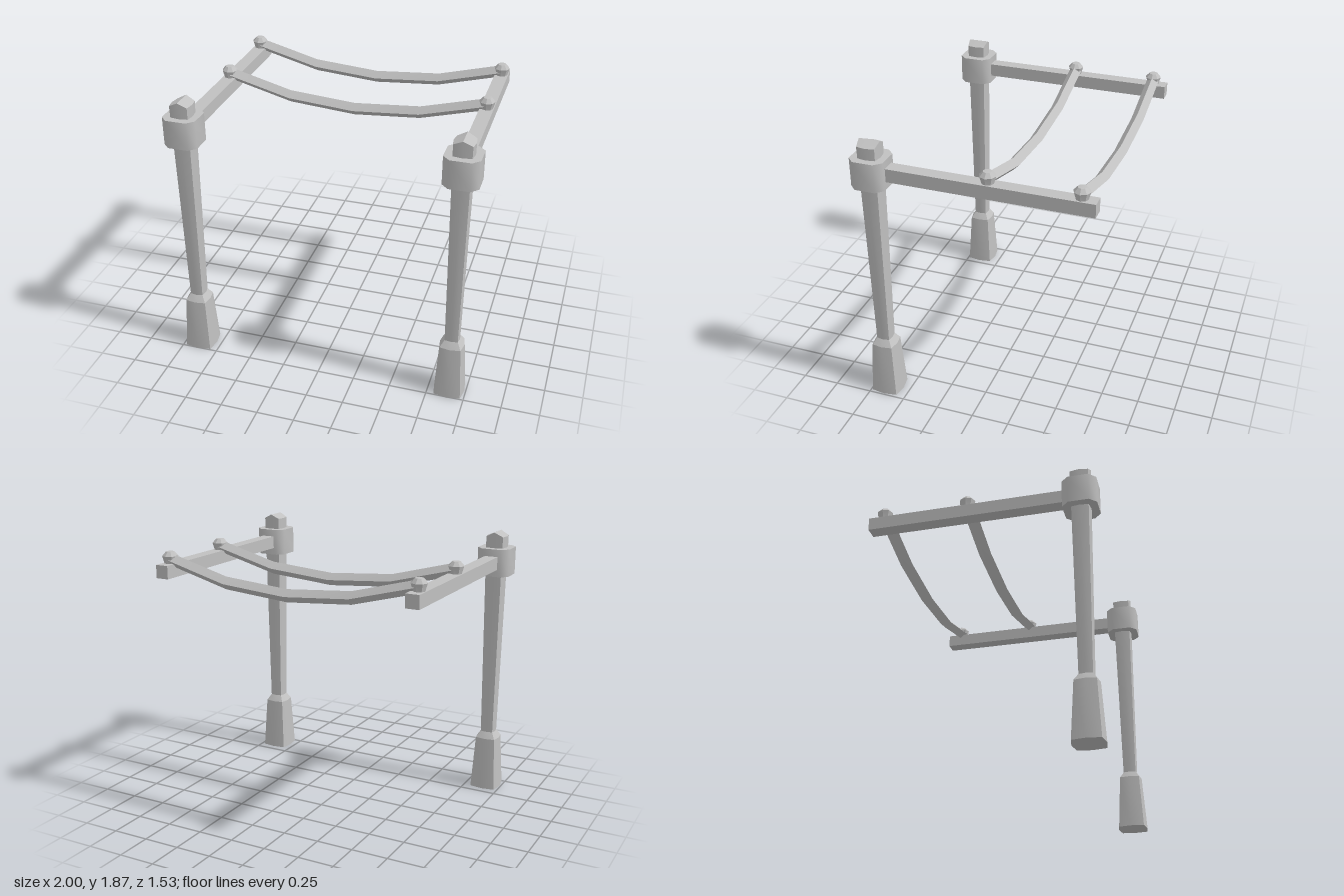
import * as THREE from 'three';
import { toCreasedNormals } from 'three/addons/utils/BufferGeometryUtils.js';

// Closed solid through rings of points, with fan caps at both ends
function loft(rings, crease) {
  const pos = [];
  const tri = (...pts) => pts.forEach((p) => pos.push(p.x, p.y, p.z));
  const centre = (r) => r.reduce((s, p) => s.add(p), new THREE.Vector3()).divideScalar(r.length);
  const n = rings[0].length;
  for (let i = 0; i < rings.length - 1; i++) {
    for (let j = 0; j < n; j++) {
      const k = (j + 1) % n, lo = rings[i], up = rings[i + 1];
      tri(lo[j], up[j], up[k]);
      tri(lo[j], up[k], lo[k]);
    }
  }
  const first = rings[0], last = rings[rings.length - 1];
  const c0 = centre(first), c1 = centre(last);
  // a raised ridge keeps its height across the middle
  c1.y = Math.max(c1.y, last[2].y);
  for (let j = 0; j < n; j++) {
    const k = (j + 1) % n;
    tri(c0, first[j], first[k]);
    tri(c1, last[k], last[j]);
  }
  const g = new THREE.BufferGeometry();
  g.setAttribute('position', new THREE.Float32BufferAttribute(pos, 3));
  return toCreasedNormals(g, crease);
}

// Square section with gently bulging sides; ridge lifts the front and back midpoints
function bulgedRing(y, r, ridge = 0) {
  const c = r * 0.86;
  return [[r, 0], [c, c], [0, r], [-c, c], [-r, 0], [-c, -c], [0, -r], [c, -c]]
    .map(([x, z]) => new THREE.Vector3(x, y + (x === 0 ? ridge : 0), z));
}

// Square section with cut corners
function chamferRing(y, r, cut) {
  const c = r - cut;
  return [[r, -c], [r, c], [c, r], [-c, r], [-r, c], [-r, -c], [-c, -r], [c, -r]]
    .map(([x, z]) => new THREE.Vector3(x, y, z));
}

export function createModel() {
  const model = new THREE.Group();
  model.name = 'hangingFrame';
  const grey = new THREE.MeshStandardMaterial({ color: 0xc0c0c0 });
  grey.name = 'grey';

  const add = (name, geometry, x, y, z) => {
    const mesh = new THREE.Mesh(geometry, grey);
    mesh.name = name;
    mesh.position.set(x, y, z);
    model.add(mesh);
  };

  const postX = 0.888, postZ = 0.652;
  const barZ = [-0.1, -0.67];

  // Post with flared foot and gabled top
  const post = loft([
    bulgedRing(0, 0.103), bulgedRing(0.375, 0.08), bulgedRing(0.42, 0.05),
    bulgedRing(1.57, 0.065), bulgedRing(1.835, 0.069, 0.03),
  ], 0.42);
  const collar = loft([chamferRing(1.57, 0.112, 0.045), chamferRing(1.758, 0.112, 0.045)], 0.9);
  const beam = new THREE.BoxGeometry(0.09, 0.088, 1.365);

  // Peg with wide head
  const peg = new THREE.LatheGeometry(
    [[0, 1.66], [0.035, 1.66], [0.038, 1.705], [0.053, 1.757], [0.028, 1.785], [0, 1.788]]
      .map(([r, y]) => new THREE.Vector2(r, y)), 8);
  const pegGeometry = toCreasedNormals(peg, 0.4);

  for (const [side, s] of [['left', 1], ['right', -1]]) {
    add(side + 'Post', post, s * postX, 0, postZ);
    add(side + 'Collar', collar, s * postX, 0, postZ);
    add(side + 'Beam', beam, s * postX, 1.664, -0.0825);
    barZ.forEach((z, i) => add(side + 'Peg' + (i + 1), pegGeometry, s * postX, 0, z));
  }

  // Sagging crossbars, a square section set on its corner
  const h = 0.042;
  const sag = [[-0.888, 1.735], [-0.45, 1.619], [0, 1.584], [0.45, 1.619], [0.888, 1.735]];
  const crossbar = loft(sag.map(([x, y]) =>
    [[h, 0], [0, h], [-h, 0], [0, -h]].map(([dz, dy]) => new THREE.Vector3(x, y + dy, dz))), 0.5);
  barZ.forEach((z, i) => add('crossbar' + (i + 1), crossbar, 0, 0, z));

  return model;
}
